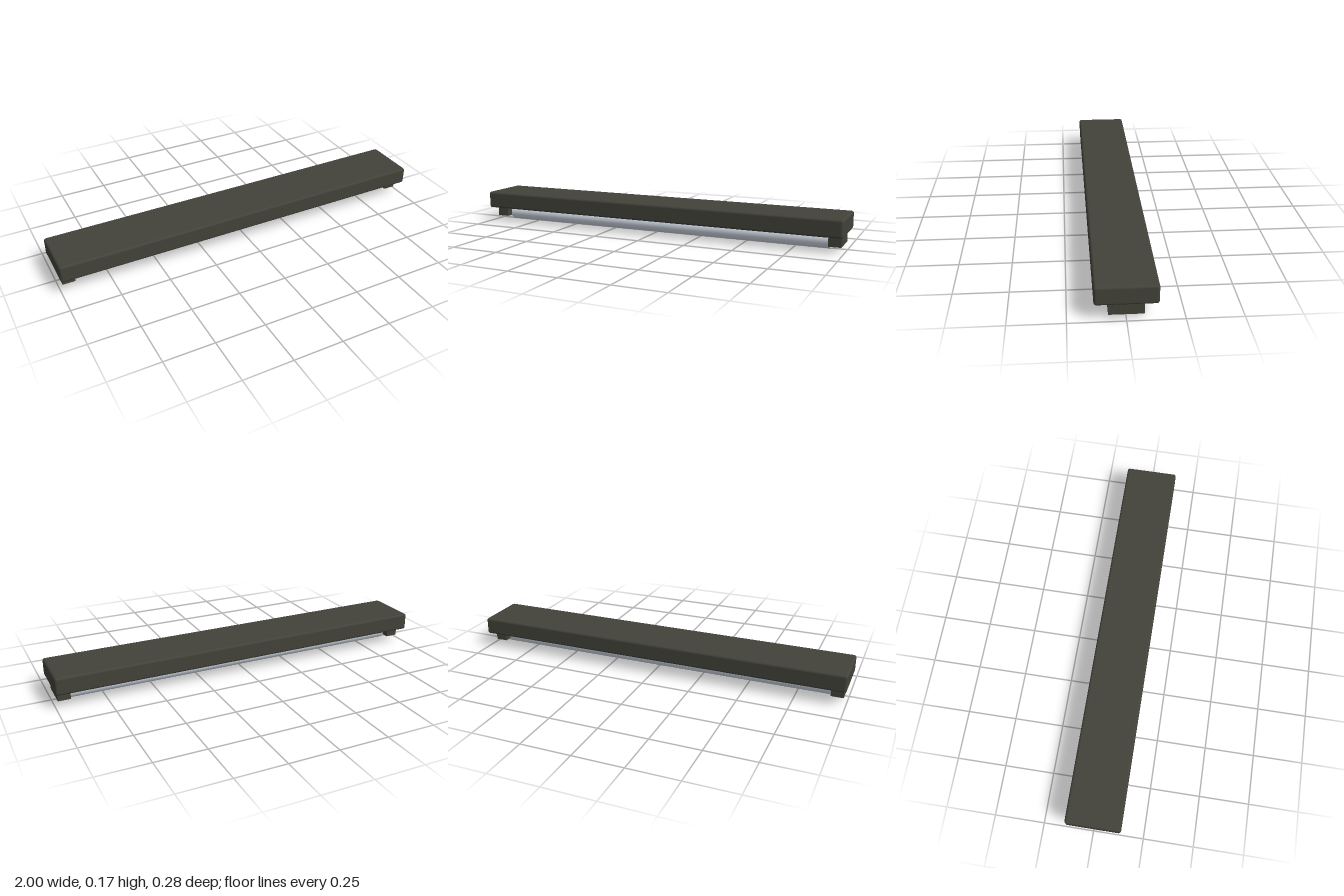
import * as THREE from 'three';
import { RoundedBoxGeometry } from 'three/addons/geometries/RoundedBoxGeometry.js';

export function createModel() {
  const model = new THREE.Group();
  model.name = 'stripLight';

  const darkMetal = new THREE.MeshStandardMaterial({ name: 'dark metal', color: 0x42423a });
  const paleGlass = new THREE.MeshStandardMaterial({ name: 'pale glass', color: 0xd0d8e4 });

  const add = (name, geometry, material, x, y, z) => {
    const mesh = new THREE.Mesh(geometry, material);
    mesh.name = name;
    mesh.position.set(x, y, z);
    model.add(mesh);
    return mesh;
  };

  // Long housing with softly rounded edges
  add('housing', new RoundedBoxGeometry(2, 0.09, 0.275, 3, 0.012), darkMetal, 0, 0.123, 0);

  // Square sockets holding the tube at both ends
  for (const side of [-1, 1]) {
    add(side > 0 ? 'leftSocket' : 'rightSocket',
      new THREE.BoxGeometry(0.063, 0.057, 0.153), darkMetal, side * 0.952, 0.0515, 0);
  }

  // Twelve-sided lamp tube resting on a flat facet
  const radius = 0.04;
  const tube = new THREE.CylinderGeometry(radius, radius, 1.842, 12);
  tube.rotateY(Math.PI / 12);
  tube.rotateZ(Math.PI / 2);
  add('lampTube', tube, paleGlass, 0, radius * Math.cos(Math.PI / 12), 0);

  return model;
}
